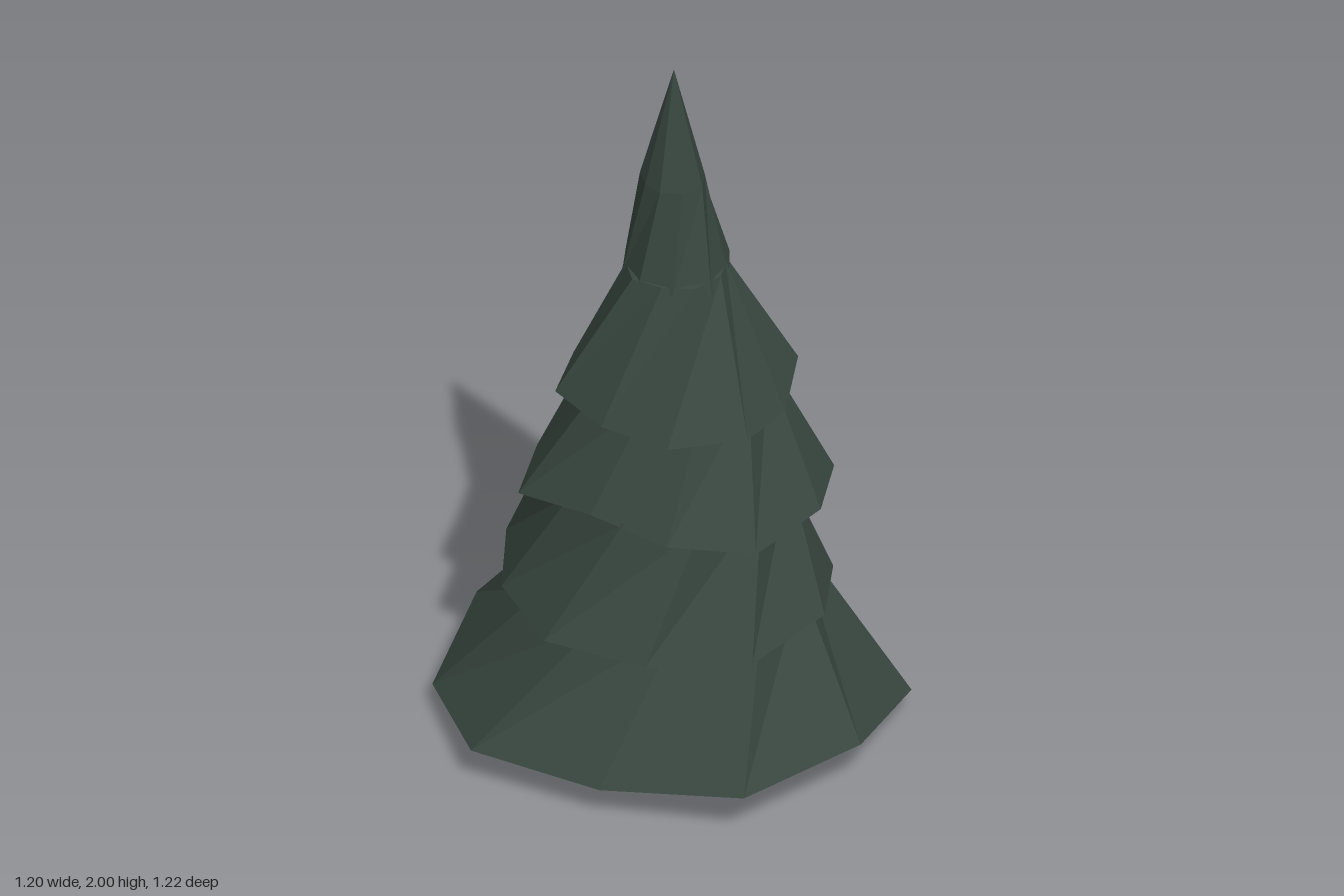
import * as THREE from 'three';

const AXIS_Z = -0.047; // the trunk axis sits slightly behind centre

const needles = new THREE.MeshStandardMaterial({ color: 0x38463f, flatShading: true });
needles.name = 'dark green needles';
const bark = new THREE.MeshStandardMaterial({ color: 0x5f4a39, flatShading: true });
bark.name = 'brown bark';

// Shrinks a ring towards the axis, twists it and sets its height
function innerRing(rim, scale, twist, y) {
  const c = Math.cos(twist) * scale, s = Math.sin(twist) * scale;
  return rim.map(([x, , z]) => {
    const dz = z - AXIS_Z;
    return [x * c + dz * s, y, AXIS_Z + dz * c - x * s];
  });
}

// Skins a rim and its inner ring with valley folds, closing bottom and top with fans
function skin(name, rim, inner, bottomY, topY) {
  const pos = [];
  const low = [0.003, bottomY, AXIS_Z], high = [0.003, topY, AXIS_Z];
  rim.forEach((a, i) => {
    const j = (i + 1) % rim.length;
    const [b, c, d] = [rim[j], inner[j], inner[i]];
    pos.push(...b, ...a, ...low, ...a, ...b, ...c, ...a, ...c, ...d, ...d, ...c, ...high);
  });
  const geo = new THREE.BufferGeometry();
  geo.setAttribute('position', new THREE.Float32BufferAttribute(pos, 3));
  geo.computeVertexNormals();
  const mesh = new THREE.Mesh(geo, needles);
  mesh.name = name;
  return mesh;
}

// Uneven rims [x, y, z], running from front left round by the right
const lowestRim = [
  [-0.32, 0.09, 0.41], [0.02, 0.13, 0.605], [0.38, 0.135, 0.44], [0.6, 0.075, 0.13], [0.55, 0.07, -0.24],
  [0.35, 0.1, -0.54], [0, 0.1, -0.61], [-0.39, 0.1, -0.58], [-0.6, 0.06, -0.24], [-0.6, 0.1, 0.155],
];
const lowerRim = [
  [-0.19, 0.435, 0.385], [0.1, 0.4, 0.39], [0.33, 0.435, 0.26], [0.43, 0.39, -0.03], [0.4, 0.4, -0.27],
  [0.21, 0.41, -0.5], [-0.1, 0.42, -0.45], [-0.36, 0.41, -0.39], [-0.45, 0.43, -0.1], [-0.41, 0.43, 0.185],
];
const middleRim = [
  [-0.11, 0.75, 0.31], [0.12, 0.715, 0.35], [0.33, 0.74, 0.22], [0.43, 0.71, -0.02], [0.38, 0.735, -0.23],
  [0.16, 0.735, -0.4], [-0.11, 0.735, -0.465], [-0.3, 0.72, -0.3], [-0.41, 0.725, -0.08], [-0.27, 0.765, 0.13],
];
const upperRim = [
  [-0.1, 1.03, 0.275], [0.12, 1.02, 0.265], [0.25, 1.02, 0.16], [0.335, 1.06, -0.03], [0.26, 1.03, -0.22],
  [0.11, 1.04, -0.355], [-0.09, 1.04, -0.36], [-0.22, 1.04, -0.23], [-0.315, 1.04, -0.06], [-0.24, 1.035, 0.13],
];

export function createModel() {
  const tree = new THREE.Group();
  tree.name = 'pineTree';

  // Trunk
  const trunk = new THREE.Mesh(new THREE.CylinderGeometry(0.046, 0.049, 0.4, 8), bark);
  trunk.name = 'trunk';
  trunk.position.set(0.003, 0.2, AXIS_Z);
  tree.add(trunk);

  // Four hollow skirts: name, rim, top scale, twist, top height, height of the hollow
  const skirts = [
    ['lowestBranches', lowestRim, 0.56, 0.4, 0.46, 0.345],
    ['lowerBranches', lowerRim, 0.68, 0.38, 0.77, 0.62],
    ['middleBranches', middleRim, 0.59, 0.4, 1.08, 0.94],
    ['upperBranches', upperRim, 0.43, 0.45, 1.4, 1.22],
  ];
  for (const [name, rim, scale, twist, topY, hollowY] of skirts) {
    tree.add(skin(name, rim, innerRing(rim, scale, twist, topY), hollowY, topY + 0.03));
  }

  // Narrow twisted spire, its rim resting on the upper branches
  const rim = Array.from({ length: 9 }, (_, i) => {
    const a = Math.PI * 0.6 - (i / 9) * Math.PI * 2;
    const r = 0.15 + 0.008 * Math.sin(i * 2.4);
    return [0.012 + Math.cos(a) * r, 1.37 + 0.012 * Math.cos(i * 2), AXIS_Z - 0.01 + Math.sin(a) * r];
  });
  tree.add(skin('spire', rim, innerRing(rim, 0.58, 0.33, 1.66), 1.45, 2));

  return tree;
}
